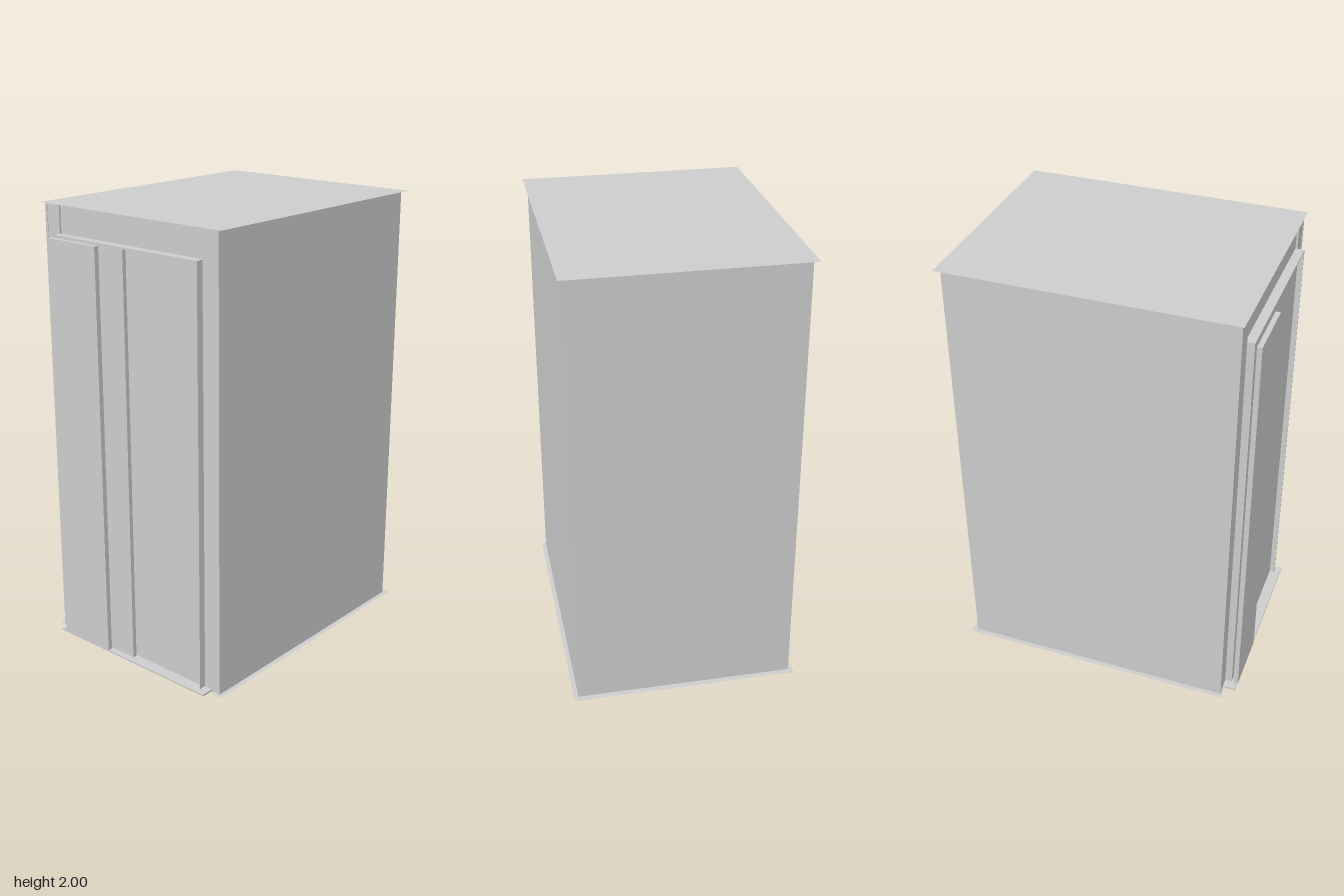
import * as THREE from 'three';

export function createModel() {
  const group = new THREE.Group();
  group.name = 'elevatorCabin';
  const metal = new THREE.MeshStandardMaterial({ color: 0xcccccc, side: THREE.DoubleSide });
  metal.name = 'lightGreyMetal';

  // Box given by its extents on each axis
  function box(name, [x0, x1], [y0, y1], [z0, z1]) {
    const mesh = new THREE.Mesh(new THREE.BoxGeometry(x1 - x0, y1 - y0, z1 - z0), metal);
    mesh.position.set((x0 + x1) / 2, (y0 + y1) / 2, (z0 + z1) / 2);
    mesh.name = name;
    group.add(mesh);
  }

  // Roof and floor sheets overhang the walls slightly
  for (const [name, y] of [['roof', 2], ['floor', 0]]) {
    const sheet = new THREE.Mesh(new THREE.PlaneGeometry(1.015, 1.28), metal);
    sheet.rotation.x = y ? -Math.PI / 2 : Math.PI / 2;
    sheet.position.set(0, y, -0.03);
    sheet.name = name;
    group.add(sheet);
  }

  // Cabin shell
  const height = [0.001, 1.999];
  box('backWall', [-0.487, 0.487], height, [-0.645, -0.63]);
  for (const [side, s] of [['left', 1], ['right', -1]]) {
    const span = (a, b) => [Math.min(a * s, b * s), Math.max(a * s, b * s)];
    box(side + 'Wall', span(0.474, 0.487), height, [-0.63, 0.6]);
    box(side + 'Jamb', span(0.402, 0.474), height, [0.57, 0.598]);
    box(side + 'FramePost', span(0.398, 0.403), [0.01, 1.875], [0.59, 0.63]);
  }
  box('header', [-0.402, 0.402], [1.87, 1.999], [0.56, 0.59]);
  box('frameTop', [-0.403, 0.403], [1.867, 1.875], [0.59, 0.63]);

  // Telescoping door panels, stepping back from right to left
  box('frontDoorPanel', [-0.41, -0.128], [0.012, 1.866], [0.639, 0.661]);
  box('middleDoorPanel', [-0.398, 0], [0.01, 1.867], [0.61, 0.629]);
  box('rearDoorPanel', [-0.02, 0.398], [0.01, 1.867], [0.585, 0.605]);

  // Door sill
  box('sill', [-0.443, 0.443], [0.001, 0.009], [0.57, 0.656]);

  return group;
}
